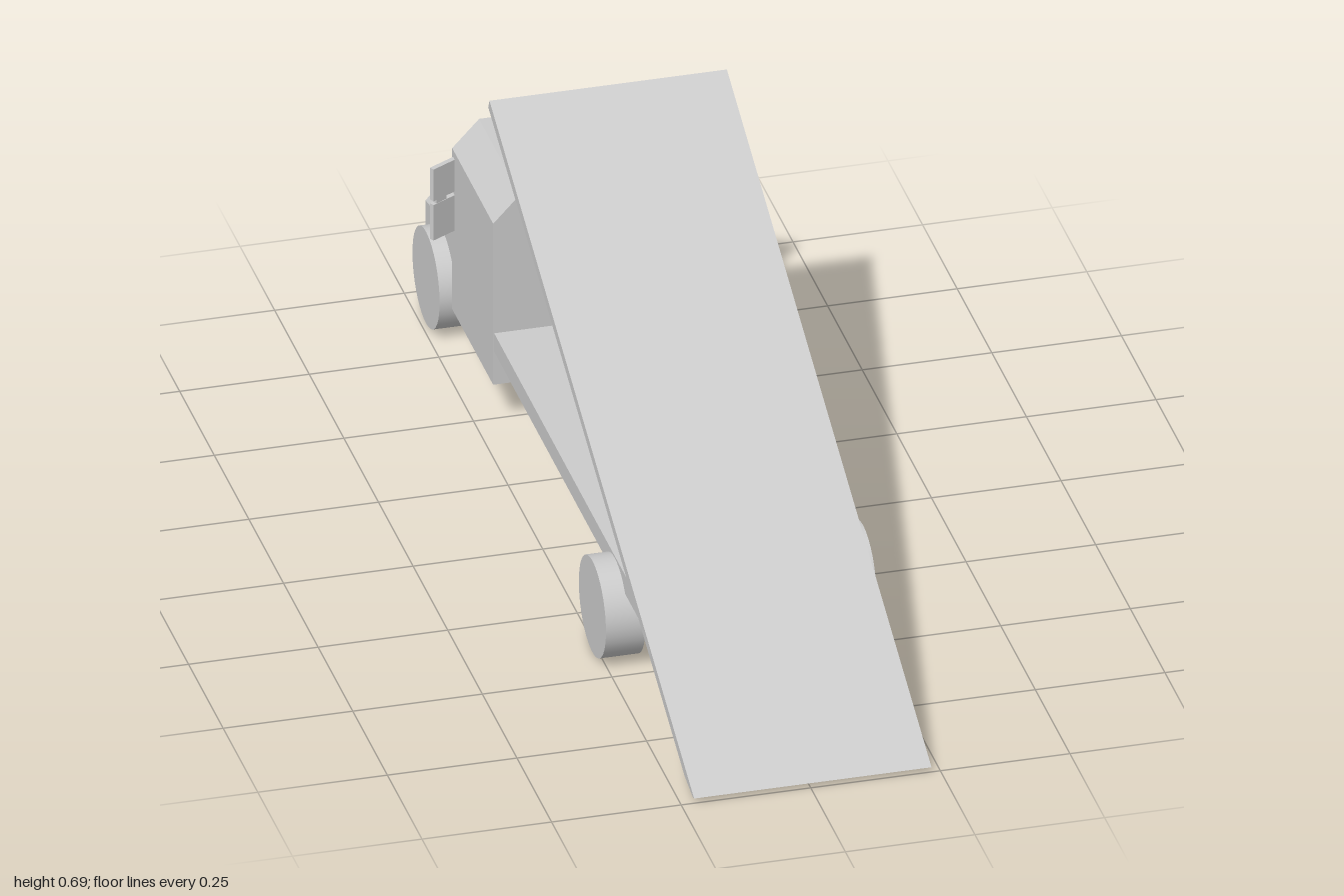
import * as THREE from 'three';

const material = new THREE.MeshStandardMaterial({ color: 0xcccccc, flatShading: true });
const smooth = new THREE.MeshStandardMaterial({ color: 0xcccccc });

const shapeOf = (points) => new THREE.Shape(points.map(([x, y]) => new THREE.Vector2(x, y)));

// Extrude an xy shape along z, from z0 to z1
function extrude(shape, z0, z1) {
  const g = new THREE.ExtrudeGeometry(shape, { depth: z1 - z0, bevelEnabled: false, curveSegments: 6 });
  return g.translate(0, 0, z0);
}

// Body section with chamfered shoulders
const section = (halfWidth, topHalf, base, shoulder, top, cx) => shapeOf([
  [cx - halfWidth, base], [cx + halfWidth, base], [cx + halfWidth, shoulder],
  [cx + topHalf, top], [cx - topHalf, top], [cx - halfWidth, shoulder],
]);

export function createModel() {
  const model = new THREE.Group();
  model.name = 'rampTruck';

  const add = (name, geometry, parent = model, mat = material) => {
    const mesh = new THREE.Mesh(geometry, mat);
    mesh.name = name;
    parent.add(mesh);
    return mesh;
  };
  const box = (name, w, h, d, x, y, z, parent) =>
    add(name, new THREE.BoxGeometry(w, h, d).translate(x, y, z), parent);

  // Flat chassis bed and the post that holds the ramp up
  box('bed', 0.43, 0.04, 1.05, -0.003, 0.18, 0.055);
  add('rampPost', extrude(shapeOf([[-0.215, 0.2], [-0.18, 0.2], [-0.18, 0.55], [-0.215, 0.566]]), 0, 0.216)
    .rotateY(-Math.PI / 2).translate(0.118, 0, 0));

  // Tilted ramp with a tapered lower lip
  const rampProfile = shapeOf([
    [1, 0.01], [-0.478, 0.695], [-0.487, 0.676], [0.93, 0.021], [0.99, 0.008],
  ]);
  add('ramp', extrude(rampProfile, 0, 0.458).rotateY(-Math.PI / 2).translate(0.233, 0, 0));

  // Cab: solid body plus a front frame with the window opening
  const cab = new THREE.Group();
  cab.name = 'cab';
  model.add(cab);
  const cx = -0.004;
  const cabSection = () => section(0.216, 0.164, 0.09, 0.435, 0.49, cx);
  add('cabBody', extrude(cabSection(), -0.75, -0.47), cab);
  const frame = cabSection();
  const opening = new THREE.Path();
  opening.moveTo(cx - 0.17, 0.318);
  opening.lineTo(cx - 0.17, 0.415);
  opening.quadraticCurveTo(cx - 0.165, 0.452, cx - 0.13, 0.455);
  opening.lineTo(cx + 0.13, 0.455);
  opening.quadraticCurveTo(cx + 0.165, 0.452, cx + 0.17, 0.415);
  opening.lineTo(cx + 0.17, 0.318);
  opening.closePath();
  frame.holes.push(opening);
  add('windowFrame', extrude(frame, -0.766, -0.75), cab);

  // Hood, its upper part sloping down towards the nose
  const hood = extrude(section(0.205, 0.157, 0.09, 0.24, 0.295, cx), -1, -0.766);
  const p = hood.attributes.position;
  for (let i = 0; i < p.count; i++) {
    if (p.getY(i) > 0.15 && p.getZ(i) < -0.9) p.setY(i, p.getY(i) - 0.047);
  }
  hood.computeVertexNormals();
  add('hood', hood);

  for (const side of [1, -1]) {
    const label = side > 0 ? 'left' : 'right';
    // Wheels
    for (const [axle, x, z] of [['Rear', 0.223, 0.4], ['Front', 0.202, -0.88]]) {
      const wheel = add(`${label}${axle}Wheel`, new THREE.CylinderGeometry(0.098, 0.098, 0.076, 40), model, smooth);
      wheel.rotation.z = Math.PI / 2;
      wheel.position.set(side * x, 0.098, z);
    }
    // Two-pane mirror angled out from the cab
    const mirror = new THREE.Group();
    mirror.name = `${label}Mirror`;
    mirror.position.set(side * 0.241, 0, -0.742);
    mirror.rotation.y = -side * 0.5;
    model.add(mirror);
    box('upperPane', 0.066, 0.068, 0.01, 0, 0.386, 0, mirror);
    box('lowerPane', 0.066, 0.076, 0.01, 0, 0.306, 0, mirror);
    box('paneLink', 0.026, 0.012, 0.008, side * 0.012, 0.348, 0, mirror);
  }

  return model;
}
